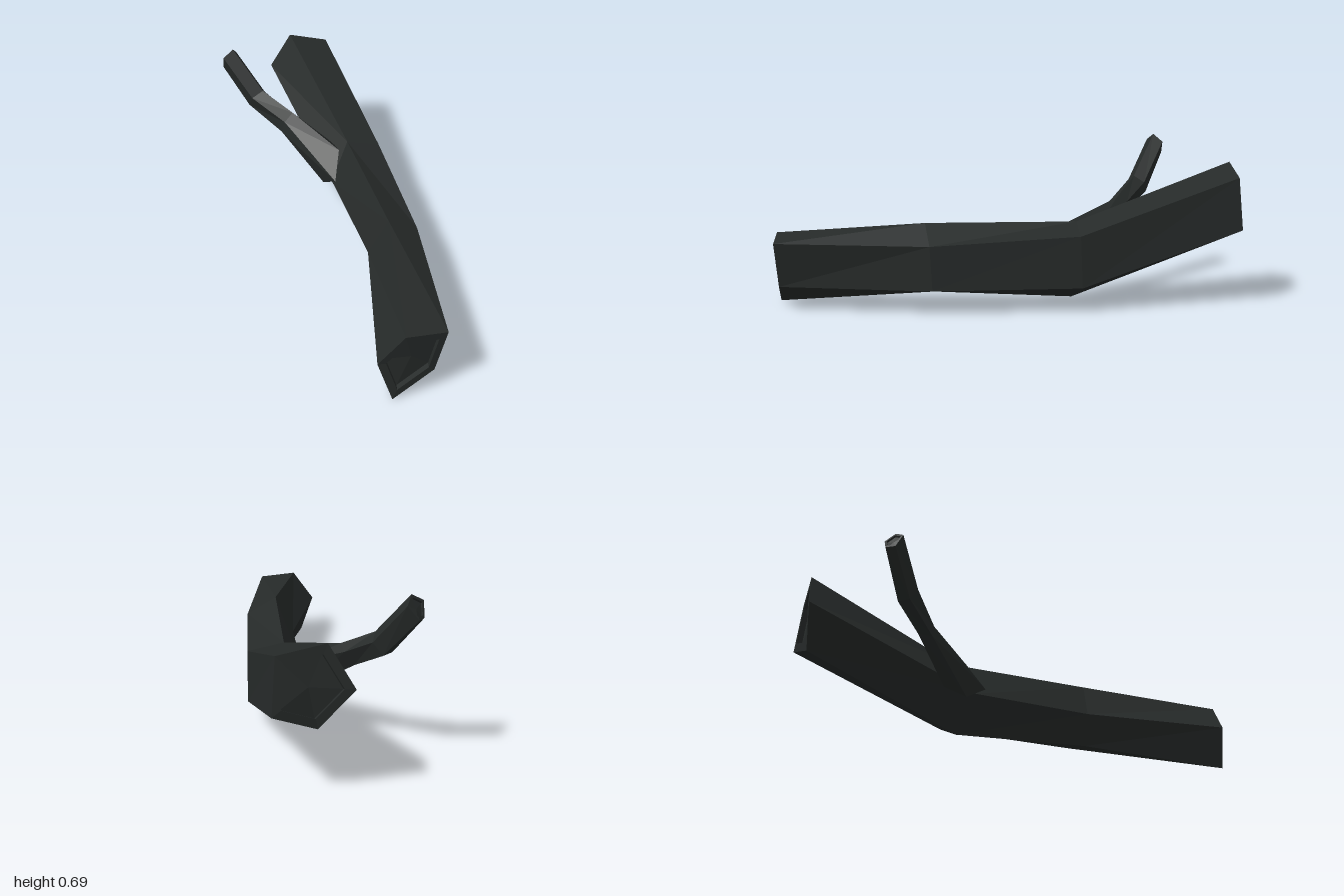
import * as THREE from 'three';

const material = new THREE.MeshStandardMaterial({ color: 0x262a29, flatShading: true, roughness: 1 });

const toRing = (points) => points.map((p) => new THREE.Vector3(...p));

const centreOf = (ring) =>
  ring.reduce((sum, p) => sum.add(p), new THREE.Vector3()).divideScalar(ring.length);

// Rim and sunken floor for a cut end: returns [inner rim, floor ring]
function cutEnd(ring, neighbour, inset, depth) {
  const centre = centreOf(ring);
  const inward = centreOf(neighbour).sub(centre).setLength(depth);
  const rim = ring.map((p) => p.clone().lerp(centre, inset));
  return [rim, rim.map((p) => p.clone().add(inward))];
}

// Skin a list of rings (clockwise along the direction of travel), closing both ends
function loft(rings) {
  const pos = [];
  const tri = (...corners) => corners.forEach((p) => pos.push(p.x, p.y, p.z));
  const n = rings[0].length;
  const first = rings[0], last = rings[rings.length - 1];
  const c0 = centreOf(first), c1 = centreOf(last);
  for (let i = 0; i < n; i++) {
    const j = (i + 1) % n;
    for (let r = 0; r < rings.length - 1; r++) {
      const a = rings[r], b = rings[r + 1];
      tri(a[i], a[j], b[i]);
      tri(a[j], b[j], b[i]);
    }
    tri(c0, first[j], first[i]);
    tri(c1, last[i], last[j]);
  }
  const geometry = new THREE.BufferGeometry();
  geometry.setAttribute('position', new THREE.Float32BufferAttribute(pos, 3));
  geometry.computeVertexNormals();
  return geometry;
}

function addPart(group, name, rings) {
  const mesh = new THREE.Mesh(loft(rings), material);
  mesh.name = name;
  group.add(mesh);
}

export function createModel() {
  const group = new THREE.Group();
  group.name = 'fallenLog';

  // Trunk: bent five-sided log, front to back (top, upper right, lower right, bottom, left)
  const trunk = [
    [[0.09, 0.315, 1], [0.26, 0.3, 0.99], [0.22, 0.105, 0.98], [0.05, 0, 1], [-0.01, 0.18, 0.98]],
    [[0.2, 0.37, 0.36], [0.335, 0.295, 0.34], [0.335, 0.105, 0.33], [0.18, 0.065, 0.35], [0.12, 0.2, 0.34]],
    [[0.18, 0.365, -0.29], [0.333, 0.33, -0.29], [0.335, 0.108, -0.3], [0.19, 0.035, -0.27], [0.09, 0.2, -0.22]],
    [[0.045, 0.6, -0.985], [0.23, 0.555, -0.98], [0.245, 0.33, -1], [0.08, 0.27, -0.97], [-0.055, 0.43, -1]],
  ].map(toRing);
  const [frontRim, frontFloor] = cutEnd(trunk[0], trunk[1], 0.25, 0.025);
  const [backRim, backFloor] = cutEnd(trunk[3], trunk[2], 0.25, 0.025);
  addPart(group, 'trunk', [frontFloor, frontRim, ...trunk, backRim, backFloor]);

  // Branch: base to tip (top, upper back, lower back, bottom, front)
  const branch = [
    [[0.13, 0.35, -0.25], [0.13, 0.31, -0.38], [0.07, 0.2, -0.37], [0.06, 0.165, -0.27], [0.095, 0.23, -0.17]],
    [[-0.04, 0.43, -0.5], [-0.05, 0.41, -0.55], [-0.09, 0.35, -0.54], [-0.1, 0.345, -0.48], [-0.085, 0.4, -0.47]],
    [[-0.165, 0.51, -0.6], [-0.15, 0.48, -0.645], [-0.19, 0.43, -0.66], [-0.23, 0.43, -0.62], [-0.22, 0.485, -0.585]],
    [[-0.285, 0.69, -0.71], [-0.265, 0.655, -0.75], [-0.31, 0.6, -0.755], [-0.335, 0.6, -0.72], [-0.335, 0.66, -0.69]],
  ].map(toRing);
  addPart(group, 'branch', [...branch, ...cutEnd(branch[3], branch[2], 0.25, 0.008)]);

  return group;
}
